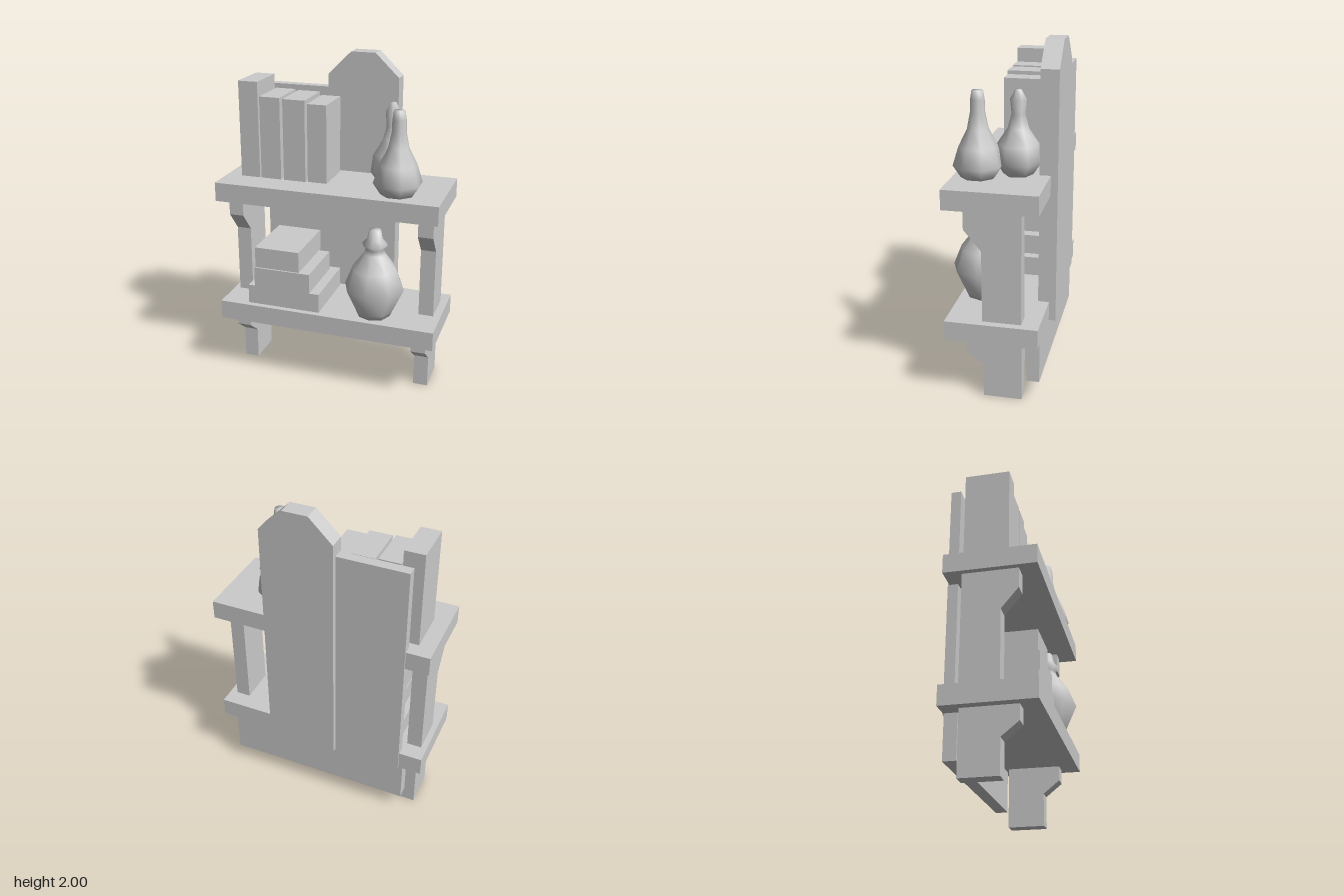
import * as THREE from 'three';

const material = new THREE.MeshStandardMaterial({ color: 0xcccccc });

export function createModel() {
  const model = new THREE.Group();

  function add(name, geometry) {
    const mesh = new THREE.Mesh(geometry, material);
    mesh.name = name;
    model.add(mesh);
    return mesh;
  }

  // Box given by its minimum and maximum on each axis
  function box(name, x0, x1, y0, y1, z0, z1) {
    const g = new THREE.BoxGeometry(x1 - x0, y1 - y0, z1 - z0);
    g.translate((x0 + x1) / 2, (y0 + y1) / 2, (z0 + z1) / 2);
    return add(name, g);
  }

  function extrude(points, depth) {
    const shape = new THREE.Shape(points.map(([a, b]) => new THREE.Vector2(a, b)));
    return new THREE.ExtrudeGeometry(shape, { depth, bevelEnabled: false });
  }

  // Shelves
  box('lowerShelf', -0.675, 0.675, 0.37, 0.487, -0.27, 0.265);
  box('upperShelf', -0.675, 0.675, 1.15, 1.265, -0.27, 0.265);

  // Back boards
  box('lowBackBoard', -0.56, 0.585, 0.11, 0.37, -0.265, -0.19);
  box('shortBackPlank', -0.535, -0.12, 0.37, 1.78, -0.28, -0.22);
  const tall = [[-0.12, 0.37], [0.315, 0.37], [0.315, 1.86], [0.17, 2], [0.02, 2], [-0.12, 1.86]];
  add('tallBackPlank', extrude(tall, 0.105)).position.z = -0.31;

  // Supports with a bracket at the top; profile in (z, y), extruded along x
  function support(name, x0, x1, y0, y1, yFoot, yBracket) {
    const profile = [[-0.168, y0], [0.055, y0], [0.055, yFoot], [0.155, yBracket], [0.155, y1], [-0.168, y1]];
    const g = extrude(profile.map(([z, y]) => [-z, y]).reverse(), x1 - x0);
    g.rotateY(Math.PI / 2);
    g.translate(x0, 0, 0);
    add(name, g);
  }
  support('rightLeg', -0.62, -0.53, 0, 0.37, 0.2, 0.28);
  support('leftLeg', 0.522, 0.612, 0, 0.37, 0.2, 0.28);
  support('rightPost', -0.64, -0.55, 0.487, 1.15, 0.91, 1.03);
  support('leftPost', 0.54, 0.63, 0.487, 1.15, 0.91, 1.03);

  // Standing books: x range, top, front
  [
    [-0.58, -0.46, 1.845, 0.085],
    [-0.45, -0.323, 1.76, 0.085],
    [-0.305, -0.168, 1.755, 0.085],
    [-0.156, -0.038, 1.735, 0.077],
  ].forEach(([x0, x1, top, front], i) => box('standingBook' + (i + 1), x0, x1, 1.265, top, -0.18, front));

  // Stacked books: x range, y range, z range
  [
    [-0.5, -0.04, 0.487, 0.607, -0.19, 0.23],
    [-0.457, -0.1, 0.607, 0.73, -0.15, 0.23],
    [-0.452, -0.17, 0.73, 0.86, -0.175, 0.22],
  ].forEach((b, i) => box('stackedBook' + (i + 1), ...b));

  // Faceted bottles turned from (radius, y) profiles
  function bottle(name, x, z, sides, turn, profile) {
    const points = profile.map(([r, y]) => new THREE.Vector2(r, y));
    const mesh = add(name, new THREE.LatheGeometry(points, sides));
    mesh.position.set(x, 0, z);
    mesh.rotation.y = turn;
  }
  bottle('largeBottle', 0.28, 0.13, 8, 0, [
    [0, 0.487], [0.1, 0.487], [0.115, 0.52], [0.183, 0.67], [0.135, 0.79], [0.065, 0.885],
    [0.055, 0.915], [0.078, 0.945], [0.048, 0.975], [0.036, 1.035], [0, 1.035],
  ]);
  bottle('frontBottle', 0.405, 0.122, 8, Math.PI / 8, [
    [0, 1.267], [0.1, 1.267], [0.143, 1.335], [0.11, 1.44], [0.06, 1.54],
    [0.042, 1.63], [0.04, 1.7], [0.032, 1.75], [0, 1.75],
  ]);
  bottle('backBottle', 0.315, -0.085, 6, 0.1, [
    [0, 1.267], [0.085, 1.267], [0.133, 1.34], [0.12, 1.44], [0.06, 1.53],
    [0.038, 1.61], [0.046, 1.69], [0.018, 1.745], [0, 1.745],
  ]);

  return model;
}
